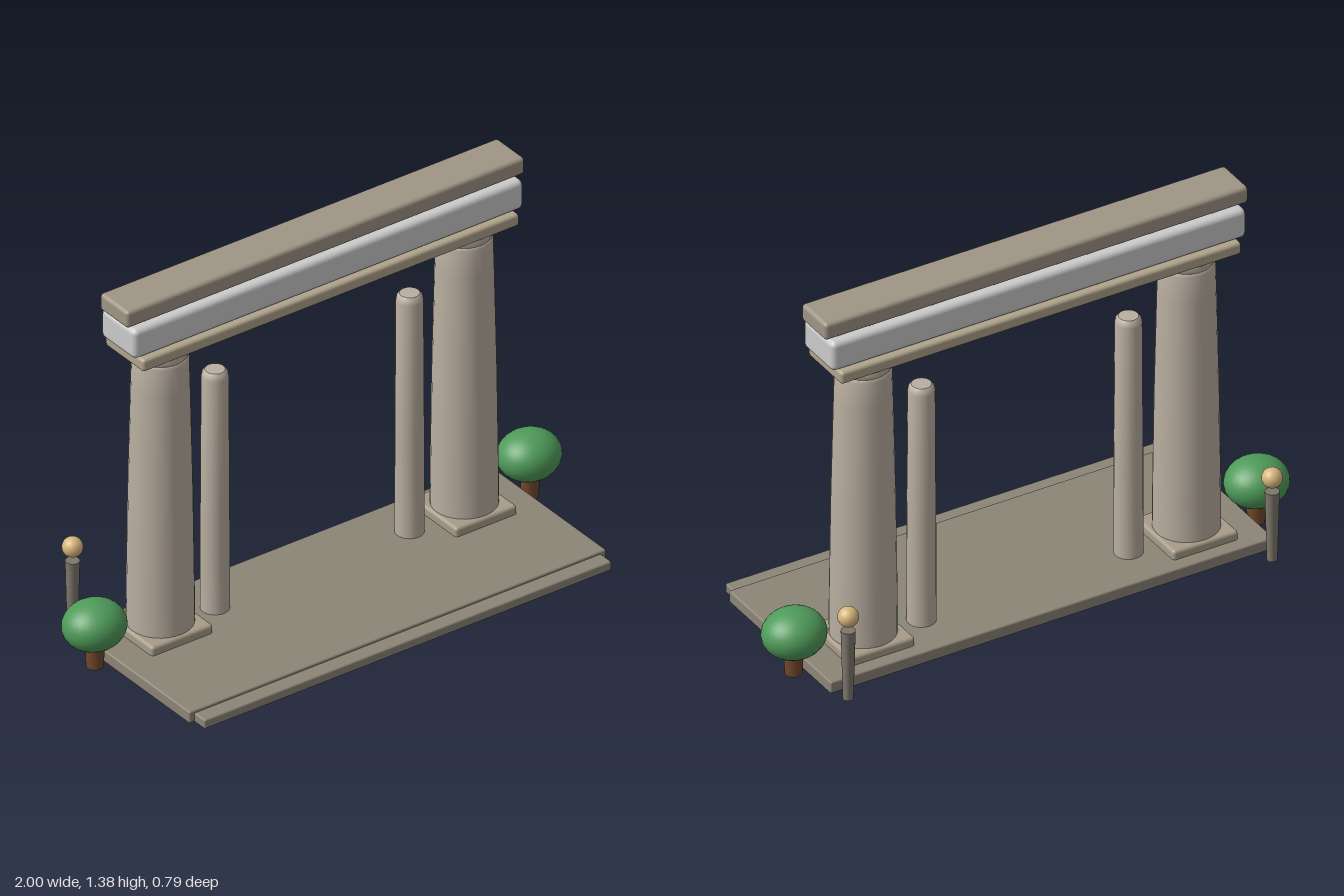
import * as THREE from 'three';
import { RoundedBoxGeometry } from 'three/addons/geometries/RoundedBoxGeometry.js';
import { toCreasedNormals } from 'three/addons/utils/BufferGeometryUtils.js';

const mat = (color) => new THREE.MeshStandardMaterial({ color });
const M = {
  floor: mat(0x8c8577), shaft: mat(0xb9aea0), pad: mat(0xa89c88), light: mat(0xcccccc),
  sill: mat(0xb0a48c), cap: mat(0x9f9586), post: mat(0x7d766c), ball: mat(0xd6b67c),
  leaf: mat(0x4f9a5a), trunk: mat(0x70482a),
};
const AXIS_Z = -0.135; // line on which the columns and beams stand

export function createModel() {
  const root = new THREE.Group();

  const add = (name, geometry, material, x, y, z) => {
    const mesh = new THREE.Mesh(geometry, material);
    mesh.name = name;
    mesh.position.set(x, y, z);
    root.add(mesh);
    return mesh;
  };
  // Rounded block given by width, depth and its bottom and top heights
  const block = (name, w, d, y0, y1, z, radius, material, x = 0) =>
    add(name, new RoundedBoxGeometry(w, y1 - y0, d, 3, radius), material, x, (y0 + y1) / 2, z);
  // Turned part from [radius, height] pairs, bottom to top
  const turned = (name, profile, material, x, z, sides = 32) => {
    const points = profile.map(([r, y]) => new THREE.Vector2(r, y));
    const geometry = toCreasedNormals(new THREE.LatheGeometry(points, sides), 0.7);
    return add(name, geometry, material, x, 0, z);
  };

  // Floor slab with a lower step along the front
  block('floorSlab', 1.70, 0.65, 0.005, 0.05, 0.015, 0.006, M.floor);
  block('frontStep', 1.66, 0.12, 0.005, 0.04, 0.337, 0.006, M.floor);

  // Three stacked beams
  block('lowerBeam', 1.536, 0.214, 1.15, 1.197, AXIS_Z, 0.012, M.sill);
  block('middleBeam', 1.59, 0.19, 1.2, 1.312, AXIS_Z, 0.02, M.light);
  block('topBeam', 1.624, 0.156, 1.32, 1.385, AXIS_Z, 0.014, M.cap);

  for (const [side, label] of [[1, 'left'], [-1, 'right']]) {
    // Tapered main column on a square base
    block(label + 'ColumnBase', 0.25, 0.25, 0.004, 0.083, AXIS_Z, 0.012, M.pad, side * 0.62);
    turned(label + 'Column', [
      [0, 0.06], [0.114, 0.06], [0.1135, 0.2], [0.108, 0.6], [0.099, 1.0],
      [0.096, 1.108], [0.093, 1.118], [0.087, 1.122], [0, 1.122],
    ], M.shaft, side * 0.62, AXIS_Z);
    turned(label + 'ColumnNeck', [
      [0, 1.115], [0.088, 1.115], [0.093, 1.123], [0.093, 1.14], [0.09, 1.152], [0, 1.152],
    ], M.shaft, side * 0.62, AXIS_Z);

    // Slim free-standing pillar
    turned(label + 'Pillar', [
      [0, 0.01], [0.05, 0.01], [0.049, 0.4], [0.046, 0.95], [0.043, 0.965], [0.034, 0.975], [0, 0.976],
    ], M.shaft, side * 0.397, AXIS_Z, 24);

    // Lamp post with a ball on top
    turned(label + 'LampPost', [[0, 0.005], [0.018, 0.005], [0.025, 0.272], [0, 0.272]],
      M.post, side * 0.813, -0.36, 16);
    add(label + 'LampBall', new THREE.SphereGeometry(0.036, 20, 14), M.ball, side * 0.813, 0.325, -0.36);

    // Round bush on a short trunk
    turned(label + 'BushTrunk', [[0, 0.005], [0.03, 0.005], [0.034, 0.11], [0, 0.11]],
      M.trunk, side * 0.887, AXIS_Z, 16);
    const crown = add(label + 'BushCrown', new THREE.SphereGeometry(1, 28, 18), M.leaf,
      side * 0.887, 0.163, -0.138);
    crown.scale.set(0.113, 0.087, 0.103);
  }
  return root;
}
